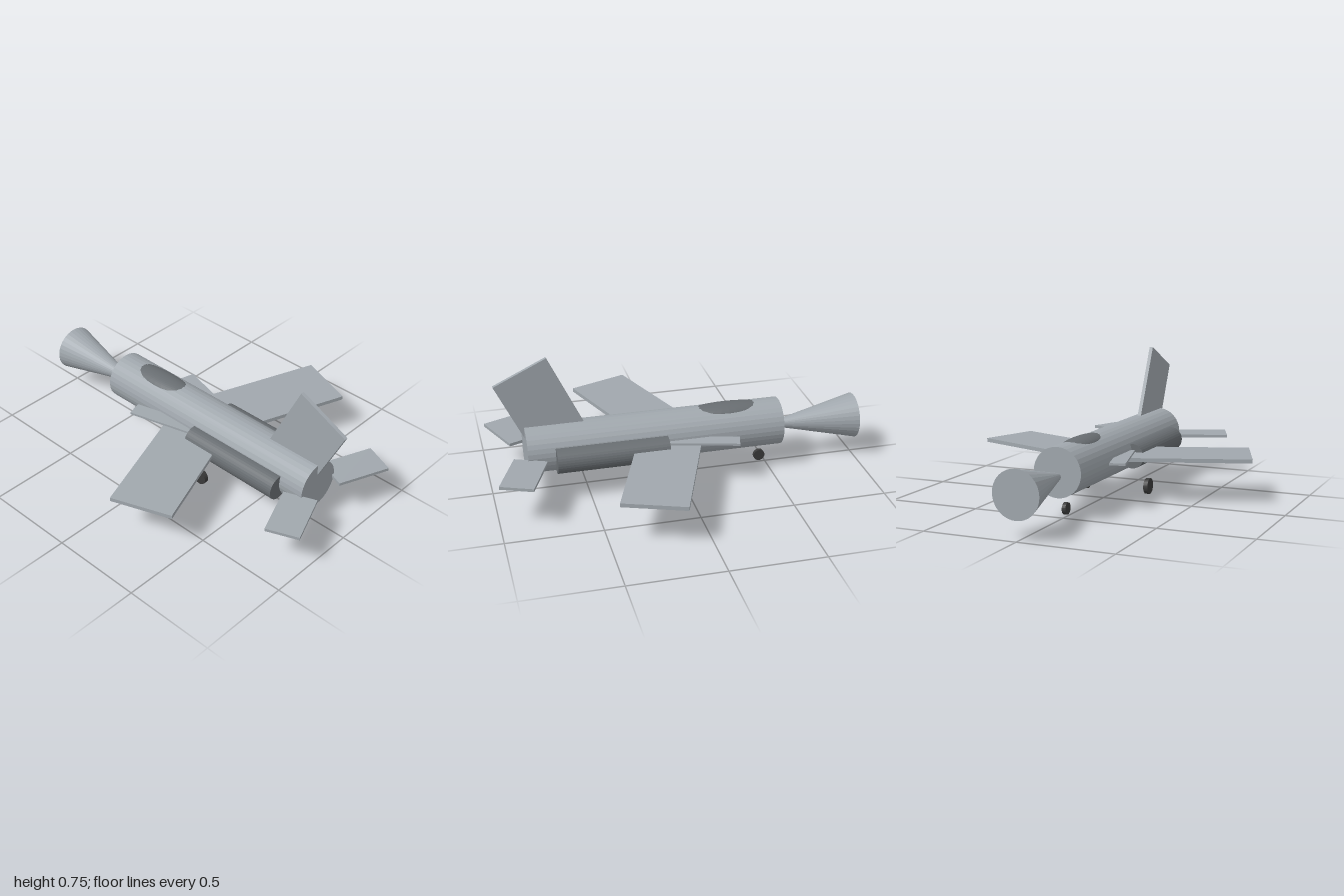
import * as THREE from 'three';

const paint = (name, color) => {
  const m = new THREE.MeshStandardMaterial({ color, flatShading: true });
  m.name = name;
  return m;
};

export function createModel() {
  const body = paint('light grey', 0xa0a7ad);
  const dark = paint('dark grey', 0x686d71);
  const rubber = paint('tyre black', 0x3a3a3a);
  const group = new THREE.Group();
  const rad = THREE.MathUtils.degToRad;

  const add = (name, geometry, material, x, y, z) => {
    const mesh = new THREE.Mesh(geometry, material);
    mesh.name = name;
    mesh.position.set(x, y, z);
    group.add(mesh);
    return mesh;
  };

  // Cylinder lying along z
  const tube = (r, length, sides = 32) =>
    new THREE.CylinderGeometry(r, r, length, sides).rotateX(Math.PI / 2);
  // Wheel with its axle along x
  const wheel = (r, width) =>
    new THREE.CylinderGeometry(r, r, width, 24).rotateZ(Math.PI / 2);

  // Fuselage and the cone that flares away from it
  add('fuselage', tube(0.129, 1.38), body, 0, 0.244, 0.127);
  const cone = new THREE.ConeGeometry(0.123, 0.52, 32).rotateX(Math.PI / 2);
  add('noseCone', cone, body, 0, 0.223, -0.74);

  // Low canopy, mostly sunk into the fuselage
  const canopy = new THREE.SphereGeometry(1, 32, 24).scale(0.078, 0.05, 0.275);
  add('canopy', canopy, dark, 0, 0.331, -0.271);

  // Upright tail fin, leaning back
  const fin = add('tailFin', new THREE.BoxGeometry(0.02, 0.5, 0.307), body, 0, 0.456, 0.716);
  fin.rotation.x = rad(25.5);

  // Mirrored parts
  for (const [side, s] of [['left', 1], ['right', -1]]) {
    const wing = add(side + 'Wing', new THREE.BoxGeometry(0.653, 0.021, 0.335), body,
      s * 0.42, 0.235, 0.181);
    wing.rotation.y = -s * rad(20.2);

    const tail = add(side + 'Tailplane', new THREE.BoxGeometry(0.288, 0.016, 0.178), body,
      s * 0.254, 0.23, 0.858);
    tail.rotation.y = -s * rad(22);

    const canard = add(side + 'Canard', new THREE.BoxGeometry(0.083, 0.012, 0.45), body,
      s * 0.146, 0.251, -0.073);
    canard.rotation.y = -s * rad(15);

    add(side + 'Engine', tube(0.067, 0.593), dark, s * 0.131, 0.222, 0.377);
    add(side + 'MainWheel', wheel(0.043, 0.024), rubber, s * 0.184, 0.043, 0.185);
  }

  add('noseWheel', wheel(0.031, 0.02), rubber, 0, 0.043, -0.464);
  return group;
}
